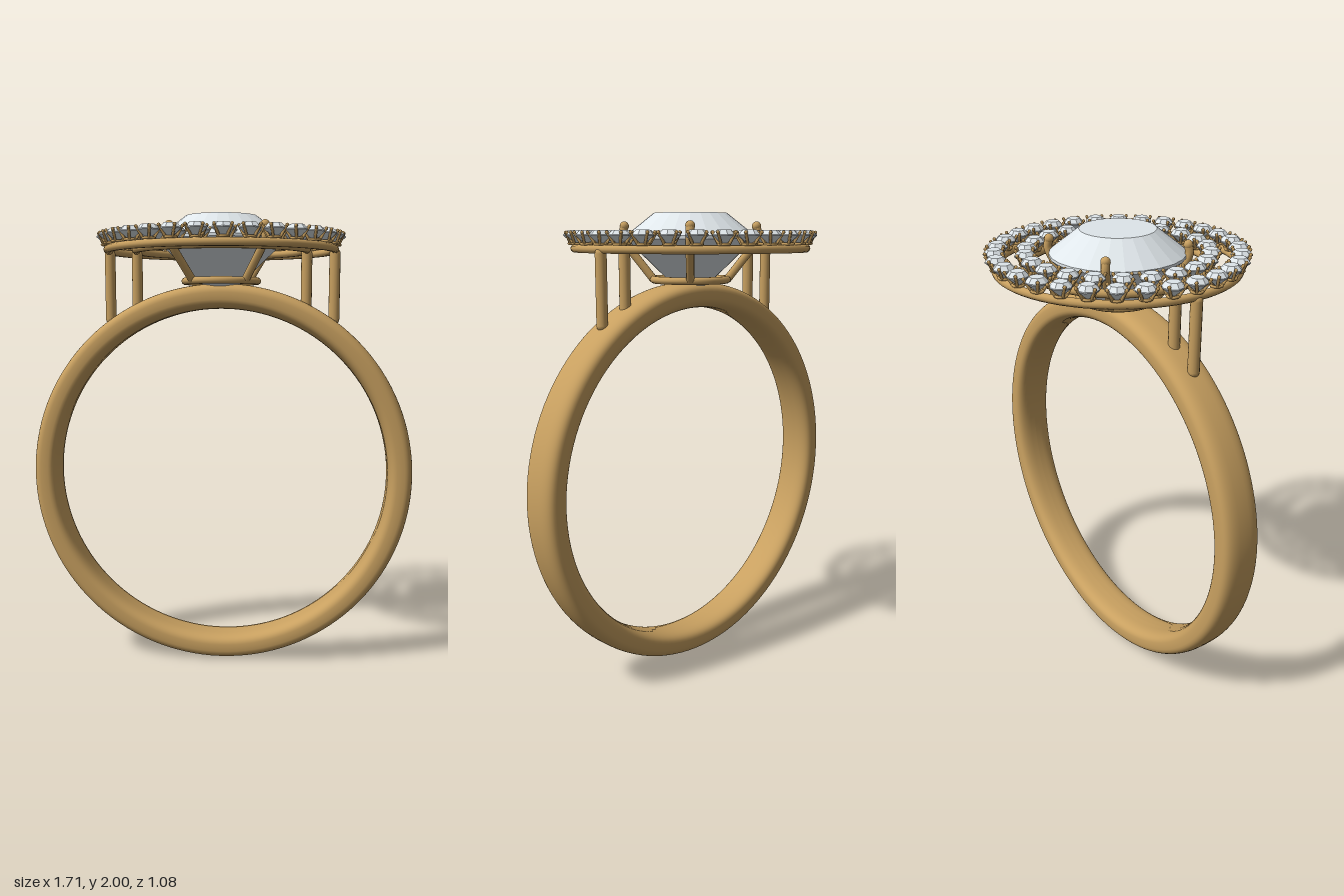
import * as THREE from 'three';

const gold = new THREE.MeshStandardMaterial({ color: 0xc8a060 });
const gem = new THREE.MeshStandardMaterial({ color: 0xdfe6ea, flatShading: true });

const V = (x, y, z) => new THREE.Vector3(x, y, z);

function add(parent, name, geometry, material = gold) {
  const mesh = new THREE.Mesh(geometry, material);
  mesh.name = name;
  parent.add(mesh);
  return mesh;
}

// Faceted stone turned from [radius, height] points, bottom to top
function gemGeometry(profile, sides) {
  return new THREE.LatheGeometry(profile.map(([r, y]) => new THREE.Vector2(r, y)), sides);
}

// Horizontal wire hoop
function hoop(parent, name, radius, tube, y, tubeSides = 10, segments = 72) {
  const g = new THREE.TorusGeometry(radius, tube, tubeSides, segments);
  const mesh = add(parent, name, g.rotateX(Math.PI / 2));
  mesh.position.y = y;
}

// Finger band: rounded-rectangle section swept around the z axis
function band(parent) {
  const pts = [];
  const n = 40;
  const power = (v) => Math.sign(v) * Math.pow(Math.abs(v), 2 / 3);
  for (let i = 0; i <= n; i++) {
    const t = -Math.PI + (i / n) * 2 * Math.PI;
    pts.push(new THREE.Vector2(0.8 + 0.055 * power(Math.cos(t)), 0.09 * power(Math.sin(t))));
  }
  const mesh = add(parent, 'band', new THREE.LatheGeometry(pts, 128).rotateX(Math.PI / 2));
  mesh.position.y = 0.855;
}

// Large centre stone with its base hoop and four bent claws
function centreSetting(parent) {
  const group = new THREE.Group();
  group.name = 'centreSetting';
  parent.add(group);
  add(group, 'centreStone', gemGeometry(
    [[0, 1.625], [0.28, 1.893], [0.28, 1.905], [0.157, 2], [0, 2]], 24), gem);
  hoop(group, 'baseHoop', 0.16, 0.016, 1.72);
  const path = new THREE.CatmullRomCurve3([
    V(0.16, 1.72, 0), V(0.215, 1.79, 0), V(0.268, 1.86, 0), V(0.29, 1.91, 0), V(0.284, 1.945, 0)]);
  for (let i = 0; i < 4; i++) {
    const claw = new THREE.Group();
    claw.name = 'claw';
    claw.rotation.y = Math.PI / 4 + i * Math.PI / 2;
    group.add(claw);
    add(claw, 'clawWire', new THREE.TubeGeometry(path, 20, 0.018, 10));
    add(claw, 'clawTip', new THREE.SphereGeometry(0.02, 12, 8)).position.set(0.284, 1.945, 0);
  }
}

// Shared pieces of the small halo stones
const smallGem = gemGeometry(
  [[0, -0.038], [0.045, 0], [0.045, 0.004], [0.028, 0.022], [0, 0.022]], 8);
const smallCup = new THREE.TorusGeometry(0.022, 0.006, 6, 12).rotateX(Math.PI / 2);
const smallClaw = new THREE.TubeGeometry(
  new THREE.LineCurve3(V(0.022, -0.032, 0), V(0.049, 0.013, 0)), 1, 0.006, 6);
const smallTip = new THREE.SphereGeometry(0.0075, 6, 4);

function smallSetting() {
  const group = new THREE.Group();
  group.name = 'smallSetting';
  add(group, 'smallStone', smallGem, gem);
  add(group, 'smallCup', smallCup).position.y = -0.032;
  for (let i = 0; i < 4; i++) {
    const a = Math.PI / 4 + i * Math.PI / 2;
    add(group, 'smallClaw', smallClaw).rotation.y = a;
    add(group, 'smallClawTip', smallTip)
      .position.set(0.049 * Math.cos(a), 0.013, 0.049 * Math.sin(a));
  }
  return group;
}

// Halo: hoop, ring of small stones, and a post down to the band on each side
function halo(parent, name, radius, count, postBottom) {
  const group = new THREE.Group();
  group.name = name;
  parent.add(group);
  hoop(group, 'haloHoop', radius, 0.017, 1.853);
  for (let i = 0; i < count; i++) {
    const a = (i / count) * 2 * Math.PI;
    const setting = smallSetting();
    setting.position.set(radius * Math.cos(a), 1.905, radius * Math.sin(a));
    setting.rotation.y = -a;
    group.add(setting);
  }
  const top = 1.86;
  for (const side of [-1, 1]) {
    const length = top - postBottom;
    const post = add(group, 'post', new THREE.CapsuleGeometry(0.024, length - 0.048, 6, 14));
    post.position.set(side * radius, (top + postBottom) / 2, 0);
  }
}

export function createModel() {
  const model = new THREE.Group();
  model.name = 'haloRing';
  band(model);
  centreSetting(model);
  halo(model, 'innerHalo', 0.375, 22, 1.57);
  halo(model, 'outerHalo', 0.497, 30, 1.53);
  return model;
}
